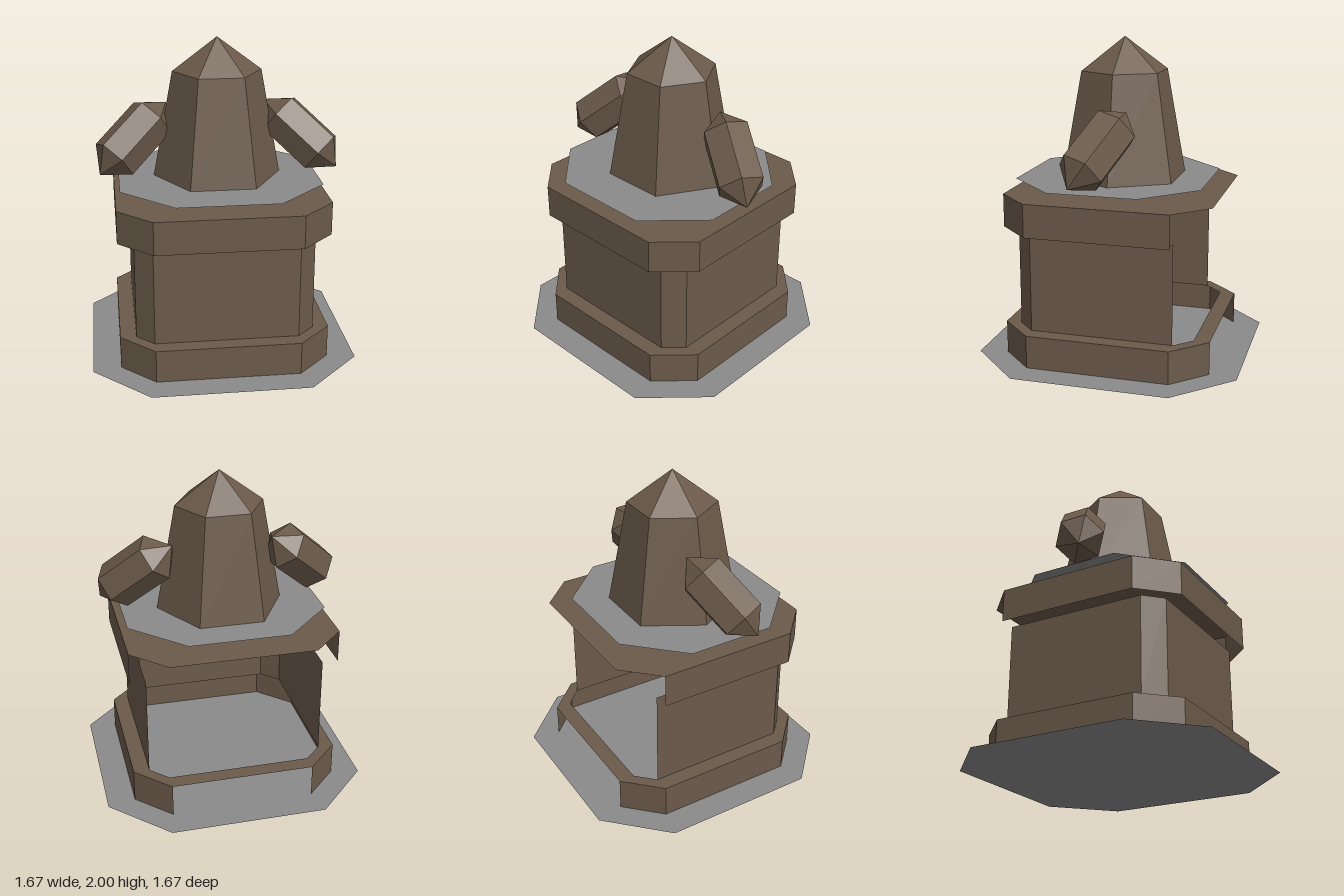
import * as THREE from 'three';

// Chamfered rectangle outline: half sizes hx, hz and half lengths of the straight sides sx, sz
function octagonPoints(hx, hz, sx, sz) {
  return [[-sx, -hz], [-hx, -sz], [-hx, sz], [-sx, hz], [sx, hz], [hx, sz], [hx, -sz], [sx, -hz]]
    .map(([x, z]) => new THREE.Vector2(x, z));
}

// Flat horizontal slab face, optionally with a hole
function flatPlate(outline, hole) {
  const shape = new THREE.Shape(outline);
  if (hole) shape.holes.push(new THREE.Path(hole));
  return new THREE.ShapeGeometry(shape).rotateX(-Math.PI / 2);
}

// Open vertical wall following a path of (x, z) points
function wall(path, y0, y1) {
  const pos = [];
  for (let i = 0; i < path.length - 1; i++) {
    const a = path[i], b = path[i + 1];
    pos.push(a.x, y0, a.y, b.x, y0, b.y, b.x, y1, b.y);
    pos.push(a.x, y0, a.y, b.x, y1, b.y, a.x, y1, a.y);
  }
  const geo = new THREE.BufferGeometry();
  geo.setAttribute('position', new THREE.Float32BufferAttribute(pos, 3));
  geo.computeVertexNormals();
  return geo;
}

export function createModel() {
  const model = new THREE.Group();
  model.name = 'pedestalFigure';

  const brown = new THREE.MeshStandardMaterial({ color: 0x6b5a4a, flatShading: true, side: THREE.DoubleSide });
  brown.name = 'brown';
  const grey = new THREE.MeshStandardMaterial({ color: 0x8a8a8a, flatShading: true, side: THREE.DoubleSide });
  grey.name = 'grey';

  const add = (name, geo, mat, x = 0, y = 0, z = 0) => {
    const mesh = new THREE.Mesh(geo, mat);
    mesh.name = name;
    mesh.position.set(x, y, z);
    model.add(mesh);
    return mesh;
  };

  // Pedestal: walls are open at the back
  const wide = octagonPoints(0.66, 0.66, 0.45, 0.45);
  const narrow = octagonPoints(0.56, 0.56, 0.45, 0.45);
  add('groundPlate', flatPlate(octagonPoints(0.835, 0.835, 0.49, 0.49)), grey);
  add('plinthWall', wall(wide, 0, 0.21), brown);
  add('plinthLedge', flatPlate(wide, narrow), brown, 0, 0.21);
  add('pedestalWall', wall(narrow.slice(1, 7), 0.21, 0.84), brown);
  add('corniceWall', wall(wide.slice(1, 7), 0.84, 1.05), brown);
  add('corniceTop', flatPlate(wide), brown, 0, 1.05);
  add('figurePlate', flatPlate(octagonPoints(0.63, 0.593, 0.315, 0.278)), grey, 0, 1.12, 0.033);

  // Figure: six-sided tapered body with a pointed head
  const turn = Math.PI / 2;
  add('body', new THREE.CylinderGeometry(0.28, 0.405, 0.67, 6, 1, true, turn), brown, 0, 1.455);
  add('head', new THREE.ConeGeometry(0.28, 0.21, 6, 1, true, turn), brown, 0, 1.895);

  // Arms: six-sided prisms with pointed ends, reaching out, down and forward
  const armProfile = [[0, -0.315], [0.153, -0.18], [0.153, 0.18], [0, 0.315]]
    .map(([r, y]) => new THREE.Vector2(r, y));
  for (const s of [1, -1]) {
    const axis = new THREE.Vector3(s * 0.68, -0.62, 0.37).normalize();
    const edge = new THREE.Vector3(s * 0.06, -0.045, -0.16);
    edge.addScaledVector(axis, -edge.dot(axis)).normalize();
    const across = new THREE.Vector3().crossVectors(axis, edge);
    const arm = add(s > 0 ? 'leftArm' : 'rightArm', new THREE.LatheGeometry(armProfile, 6), brown, s * 0.53, 1.375, 0.022);
    arm.quaternion.setFromRotationMatrix(new THREE.Matrix4().makeBasis(across, axis, edge));
  }
  return model;
}
